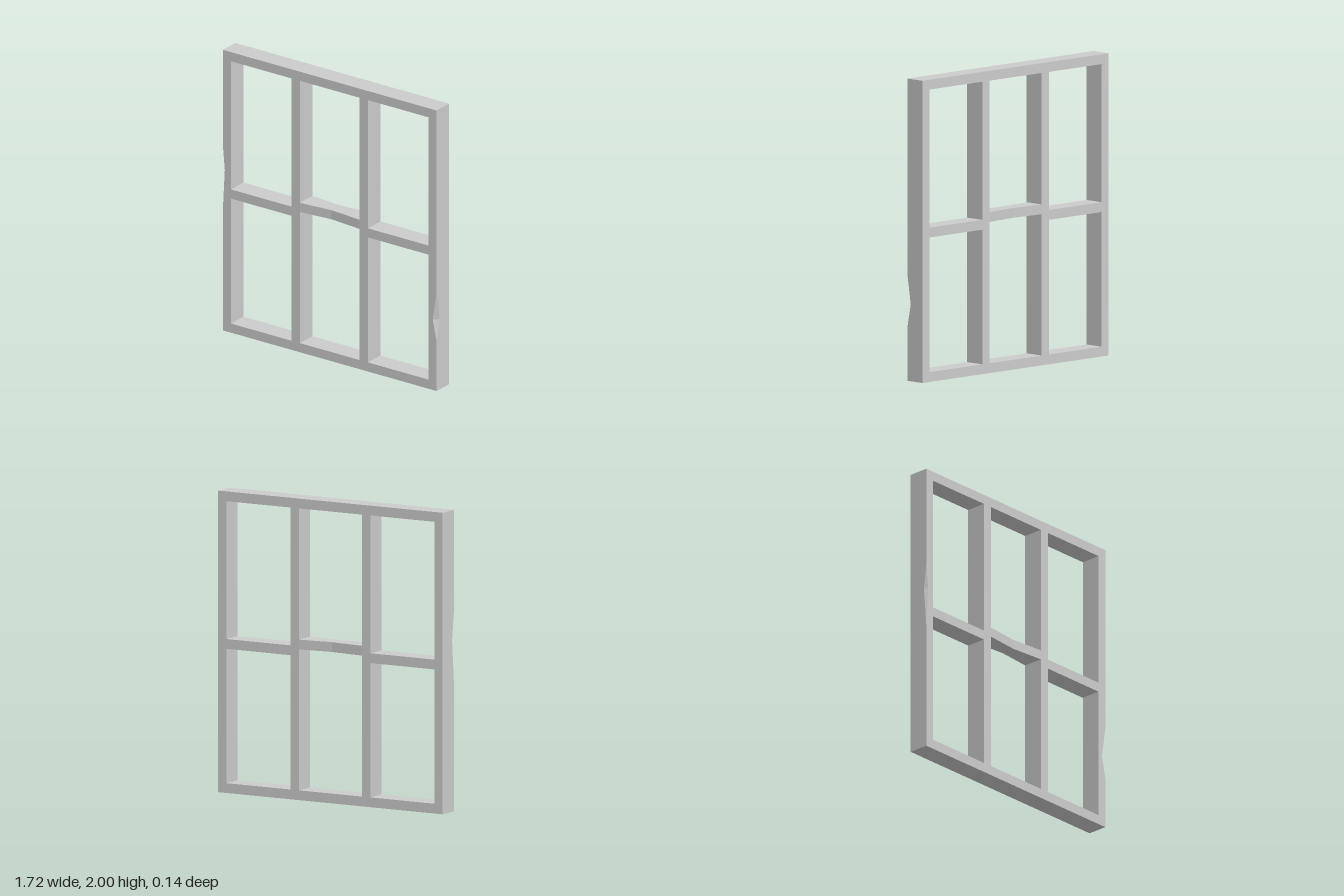
import * as THREE from 'three';

const W = 0.86, H = 2, D = 0.07, T = 0.065; // half width, height, half depth, bar thickness
const material = new THREE.MeshStandardMaterial({ color: 0xcccccc, flatShading: true });

// Closed solid through a row of rings (each counter-clockwise seen from the far end)
function loft(rings) {
  const pos = [];
  const tri = (a, b, c) => {
    if (new THREE.Triangle(a, b, c).getArea() > 1e-9) pos.push(...a, ...b, ...c);
  };
  const n = rings[0].length;
  for (let i = 0; i < rings.length - 1; i++) {
    const r = rings[i], q = rings[i + 1];
    for (let j = 0; j < n; j++) {
      const k = (j + 1) % n;
      tri(r[j], r[k], q[k]);
      tri(r[j], q[k], q[j]);
    }
  }
  const first = rings[0], last = rings[rings.length - 1];
  for (let j = 1; j < n - 1; j++) {
    tri(first[0], first[j + 1], first[j]);
    tri(last[0], last[j], last[j + 1]);
  }
  const geometry = new THREE.BufferGeometry();
  geometry.setAttribute('position', new THREE.Float32BufferAttribute(pos, 3));
  geometry.computeVertexNormals();
  return geometry;
}

// Outer upright with a chip knocked out of its outer front edge
function stileGeometry(side, chip) {
  const ring = (y, cutX, cutZ) => {
    const r = [[W - T, D], [W - cutX, D], [W, D - cutZ], [W, -D], [W - T, -D]]
      .map(([x, z]) => new THREE.Vector3(side * x, y, z));
    return side > 0 ? r : r.reverse();
  };
  return loft([
    ring(0, 0, 0), ring(chip.low, 0, 0), ring(chip.mid, chip.x, chip.z),
    ring(chip.high, 0, 0), ring(H, 0, 0),
  ]);
}

// Short crossbar worn thinner at mid length, front and back
function wornBarGeometry(x0, x1, y0, y1, wear) {
  const ring = (x, d) => [[y0, -d], [y1, -d], [y1, d], [y0, d]]
    .map(([y, z]) => new THREE.Vector3(x, y, z));
  return loft([ring(x0, D), ring((x0 + x1) / 2, D - wear), ring(x1, D)]);
}

export function createModel() {
  const group = new THREE.Group();
  const add = (name, geometry) => {
    const mesh = new THREE.Mesh(geometry, material);
    mesh.name = name;
    group.add(mesh);
  };
  const bar = (name, x0, x1, y0, y1) => add(name,
    new THREE.BoxGeometry(x1 - x0, y1 - y0, 2 * D).translate((x0 + x1) / 2, (y0 + y1) / 2, 0));

  // Outer frame
  add('leftStile', stileGeometry(1, { low: 0.35, mid: 0.5, high: 0.71, x: 0.032, z: 0.035 }));
  add('rightStile', stileGeometry(-1, { low: 0.86, mid: 1.14, high: 1.32, x: 0.016, z: 0.022 }));
  bar('bottomRail', -W + T, W - T, 0, T);
  bar('topRail', -W + T, W - T, H - T, H);

  // Inner uprights and side crossbars
  const m0 = 0.241, m1 = 0.307;
  for (const [side, label] of [[1, 'left'], [-1, 'right']]) {
    const span = (a, b) => (side > 0 ? [a, b] : [-b, -a]);
    bar(label + 'Mullion', ...span(m0, m1), T, H - T);
    bar(label + 'Crossbar', ...span(m1, W - T), 0.956, 1.021);
  }

  // Middle crossbar sits slightly higher
  add('middleCrossbar', wornBarGeometry(-m0, m0, 1.0, 1.065, 0.022));
  return group;
}
